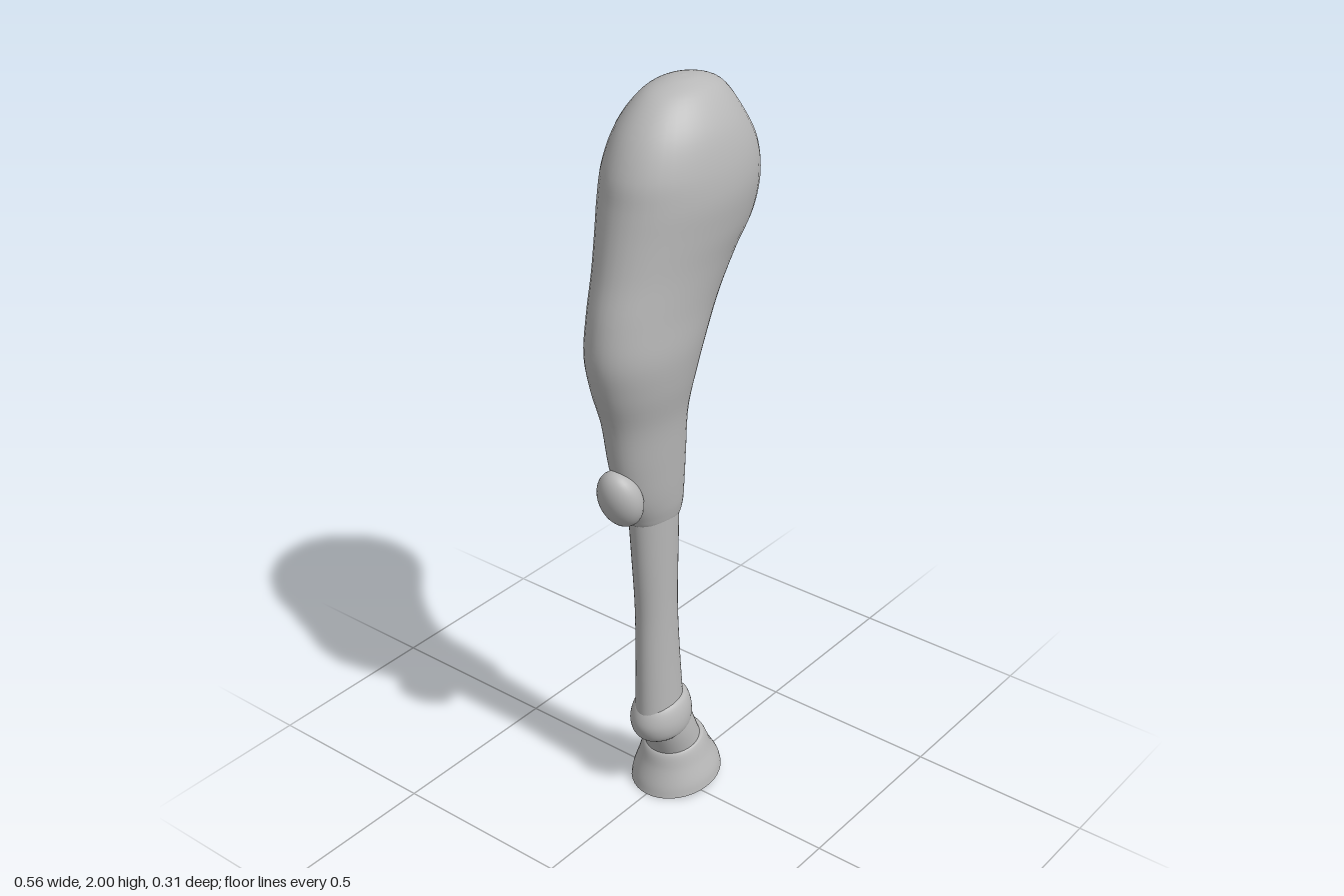
import * as THREE from 'three';

const coat = new THREE.MeshStandardMaterial({ color: 0xb8b8b8 });
coat.name = 'plain grey';

// Smooth loft from top to bottom through elliptical rings.
// Each section: [rear x, rear y, front x, front y, half width in z].
function loft(name, sections, steps = 40, sides = 40) {
  const rear = new THREE.CatmullRomCurve3(sections.map(s => new THREE.Vector3(s[0], s[1], s[4])));
  const front = new THREE.CatmullRomCurve3(sections.map(s => new THREE.Vector3(s[2], s[3], s[4])));
  const positions = [], indices = [];
  for (let i = 0; i <= steps; i++) {
    const r = rear.getPoint(i / steps), f = front.getPoint(i / steps);
    for (let j = 0; j < sides; j++) {
      const a = j / sides * Math.PI * 2, k = Math.cos(a) / 2;
      positions.push(
        (r.x + f.x) / 2 + (f.x - r.x) * k,
        (r.y + f.y) / 2 + (f.y - r.y) * k,
        Math.max(0, r.z) * Math.sin(a));
      if (i === steps) continue;
      const p = i * sides + j, q = i * sides + (j + 1) % sides;
      indices.push(p, q, p + sides, q, q + sides, p + sides);
    }
  }
  const geometry = new THREE.BufferGeometry();
  geometry.setAttribute('position', new THREE.Float32BufferAttribute(positions, 3));
  geometry.setIndex(indices);
  geometry.computeVertexNormals();
  const mesh = new THREE.Mesh(geometry, coat);
  mesh.name = name;
  return mesh;
}

export function createModel() {
  const leg = new THREE.Group();
  leg.name = 'hoofedLeg';

  // Thigh and forearm: rounded top, narrowing to the knee
  leg.add(loft('upperLeg', [
    [0.045, 2.0, 0.045, 2.0, 0],
    [-0.005, 1.995, 0.095, 1.995, 0.036],
    [-0.075, 1.97, 0.16, 1.97, 0.08],
    [-0.147, 1.9, 0.217, 1.9, 0.126],
    [-0.193, 1.81, 0.265, 1.82, 0.15],
    [-0.208, 1.74, 0.279, 1.74, 0.156],
    [-0.225, 1.66, 0.262, 1.65, 0.147],
    [-0.245, 1.57, 0.205, 1.57, 0.133],
    [-0.27, 1.47, 0.14, 1.47, 0.123],
    [-0.281, 1.37, 0.088, 1.37, 0.119],
    [-0.265, 1.28, 0.055, 1.28, 0.107],
    [-0.235, 1.18, 0.032, 1.18, 0.088],
    [-0.215, 1.06, 0.029, 1.06, 0.077],
    [-0.19, 0.96, 0.027, 0.96, 0.068],
    [-0.16, 0.9, 0.024, 0.9, 0.059],
    [-0.14, 0.87, 0.012, 0.865, 0.048],
    [-0.07, 0.86, -0.06, 0.86, 0],
  ], 80));

  // Small pad on the rear of the knee
  const pad = new THREE.Mesh(new THREE.SphereGeometry(1, 32, 20), coat);
  pad.name = 'kneePad';
  pad.scale.set(0.05, 0.084, 0.062);
  pad.rotation.z = 0.3;
  pad.position.set(-0.2, 0.98, 0);
  leg.add(pad);

  // Slim shin
  leg.add(loft('shin', [
    [-0.148, 0.9, 0.01, 0.9, 0.055],
    [-0.138, 0.77, 0.008, 0.77, 0.052],
    [-0.126, 0.6, 0.006, 0.6, 0.049],
    [-0.125, 0.45, 0.015, 0.45, 0.05],
    [-0.125, 0.26, 0.03, 0.26, 0.055],
  ], 24));

  // Bulging ankle joint
  leg.add(loft('ankle', [
    [-0.04, 0.307, -0.03, 0.307, 0],
    [-0.108, 0.3, 0.035, 0.302, 0.055],
    [-0.125, 0.28, 0.046, 0.285, 0.068],
    [-0.135, 0.24, 0.053, 0.25, 0.076],
    [-0.122, 0.2, 0.048, 0.22, 0.072],
    [-0.1, 0.185, 0.03, 0.205, 0.055],
    [-0.04, 0.195, -0.03, 0.195, 0],
  ], 32));

  // Slanted pastern between ankle and hoof
  leg.add(loft('pastern', [
    [-0.113, 0.235, 0.045, 0.245, 0.07],
    [-0.09, 0.18, 0.062, 0.2, 0.074],
    [-0.062, 0.115, 0.09, 0.135, 0.075],
  ], 12));

  // Flared hoof with a soft upper rim and a flat sole
  const hoof = new THREE.Group();
  hoof.name = 'hoof';
  hoof.add(loft('hoofWall', [
    [0.01, 0.141, 0.02, 0.142, 0],
    [-0.06, 0.13, 0.091, 0.153, 0.076],
    [-0.071, 0.121, 0.101, 0.144, 0.083],
    [-0.083, 0.08, 0.122, 0.1, 0.097],
    [-0.1, 0.03, 0.149, 0.055, 0.114],
    [-0.106, 0.002, 0.157, 0.03, 0.119],
  ], 32));
  hoof.add(loft('sole', [
    [-0.106, 0.002, 0.157, 0.03, 0.119],
    [0.025, 0.014, 0.025, 0.014, 0],
  ], 1));
  leg.add(hoof);

  return leg;
}
